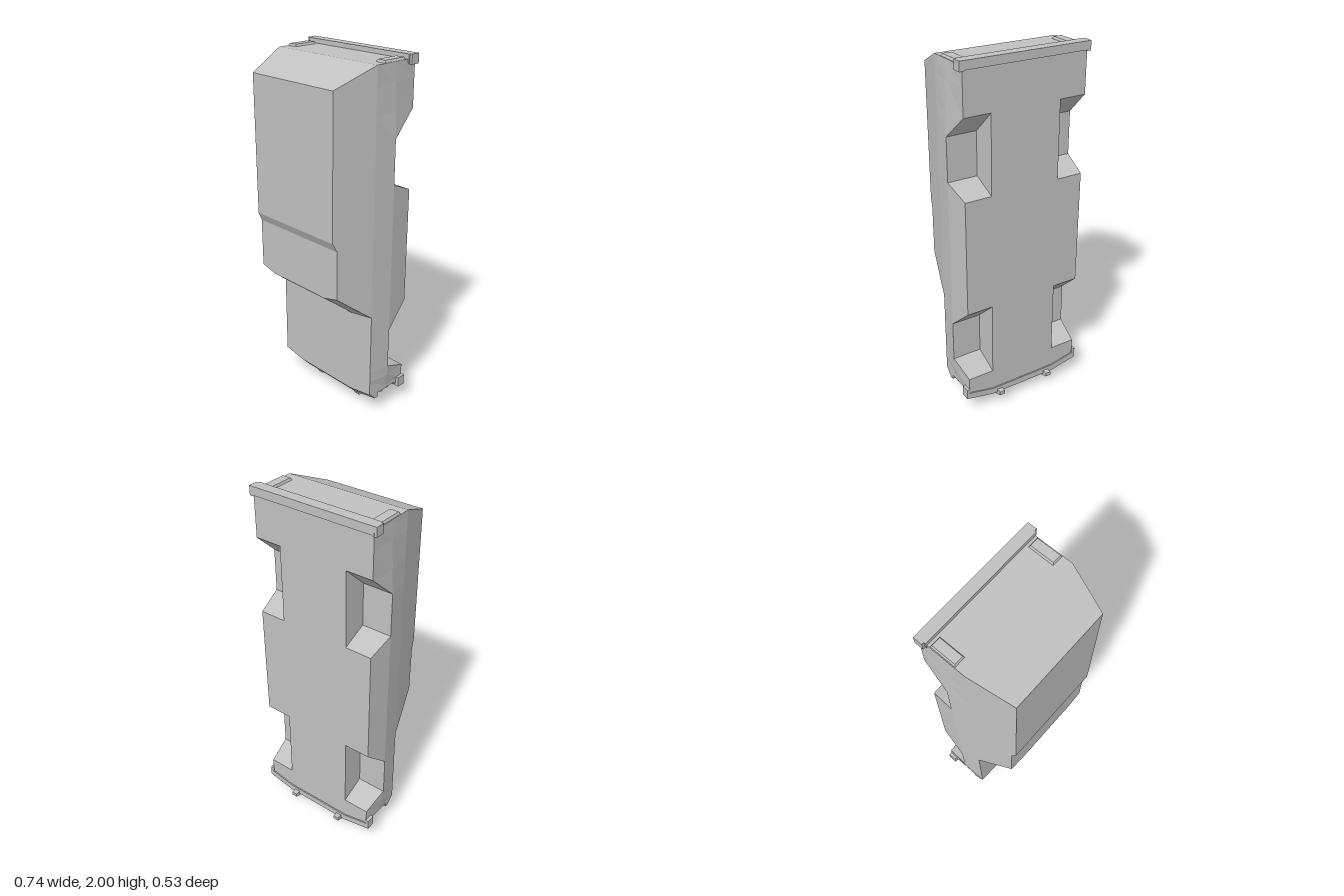
import * as THREE from 'three';

const BOTTOM = -0.23, BELT = -0.09, SHOULDER = 0.035, SILL = 0.35, INNER = 0.2;

export function createModel() {
  const root = new THREE.Group();
  root.name = 'carBody';
  const grey = new THREE.MeshStandardMaterial({ color: 0xc0c0c0 });
  grey.name = 'plain grey';

  const add = (name, geometry, x = 0, y = 0, z = 0) => {
    const mesh = new THREE.Mesh(geometry, grey);
    mesh.name = name;
    mesh.position.set(x, y, z);
    root.add(mesh);
    return mesh;
  };
  const box = (name, w, h, d, x, y, z) => add(name, new THREE.BoxGeometry(w, h, d), x, y, z);

  // Bar across the car: a [z, y] profile whose outer ends sweep back by `sweep`
  const sweptBar = (name, profile, halfWidth, sweep) => {
    const shape = new THREE.Shape(profile.map(([z, y]) => new THREE.Vector2(z, y)));
    const g = new THREE.ExtrudeGeometry(shape, { depth: 3, steps: 3, bevelEnabled: false });
    const columns = [halfWidth, INNER, -INNER, -halfWidth];
    const p = g.attributes.position;
    for (let i = 0; i < p.count; i++) {
      const k = Math.round(p.getZ(i));
      const back = k === 0 || k === 3 ? sweep : 0;
      p.setXYZ(i, columns[k], p.getY(i) + back, p.getX(i));
    }
    g.computeVertexNormals();
    return add(name, g);
  };

  add('shell', shellGeometry());

  // Nose with a recessed grille
  sweptBar('nose', [
    [0.035, 0.115], [-0.01, 0.067], [-0.03, 0.067], [-0.035, 0.095],
    [-0.17, 0.1], [-0.175, 0.085], [-0.23, 0.1], [-0.23, 0.115],
  ], SILL, 0.03);
  for (const [z, y] of [[-0.075, 0.078], [-0.125, 0.083]]) {
    sweptBar('grilleBar', [[z + 0.008, y], [z + 0.008, y + 0.025], [z - 0.008, y + 0.025], [z - 0.008, y]], 0.34, 0.03);
  }

  // Bumpers
  sweptBar('frontBumper', [[-0.19, 0.068], [-0.19, 0.105], [-0.237, 0.105], [-0.237, 0.068]], 0.355, 0.032);
  box('rearBumper', 0.71, 0.045, 0.06, 0, 1.9775, -0.208);

  // Guard in front of the nose
  for (const z of [-0.095, -0.2]) {
    box('guardCrossbar', 0.3, 0.025, 0.02, 0, 0.04 - (z + 0.095) * 0.3, z);
  }
  const upright = new THREE.Shape([
    [-0.057, 0.05], [-0.057, 0.015], [-0.07, 0], [-0.265, 0.063], [-0.265, 0.085], [-0.17, 0.092],
  ].map(([z, y]) => new THREE.Vector2(-z, y)));

  for (const side of [-1, 1]) {
    const bar = add('guardUpright',
      new THREE.ExtrudeGeometry(upright, { depth: 0.032, bevelEnabled: false }), side * 0.158 - 0.016);
    bar.rotation.y = Math.PI / 2;
    box('frontBumperEnd', 0.022, 0.06, 0.05, side * 0.357, 0.13, -0.21);
    box('rearBumperEnd', 0.025, 0.05, 0.05, side * 0.3555, 1.975, -0.212);

    // Tail light with bevelled rim
    const light = new THREE.BoxGeometry(0.064, 0.016, 0.146).toNonIndexed();
    const p = light.attributes.position;
    for (let i = 0; i < p.count; i++) {
      if (p.getY(i) > 0) {
        p.setX(i, p.getX(i) - Math.sign(p.getX(i)) * 0.008);
        p.setZ(i, p.getZ(i) - Math.sign(p.getZ(i)) * 0.008);
      }
    }
    light.computeVertexNormals();
    add('tailLight', light, side * 0.316, 1.979, -0.093);
  }
  return root;
}

// Body shell lofted from nose to tail, wheel arches included
function shellGeometry() {
  // y, arch ceiling z, belt half-width, roof half-width, roof z, upper sweep, lower sweep
  const stations = [
    [0.115, BOTTOM, 0.352, 0.35, 0.035, 0.025, 0.03],
    [0.225, BOTTOM, 0.364, 0.35, 0.035, 0, 0],
    [0.285, BELT, 0.368, 0.35, 0.035, 0, 0],
    [0.52, BELT, 0.368, 0.35, 0.035, 0, 0],
    [0.61, -0.187, 0.368, 0.35, 0.035, 0.025, 0],
    [0.65, BOTTOM, 0.368, 0.338, 0.085, 0.025, 0],
    [0.775, BOTTOM, 0.368, 0.297, 0.24, 0.025, 0],
    [1.07, BOTTOM, 0.368, 0.297, 0.24, 0, 0],
    [1.12, BOTTOM, 0.368, 0.29, 0.265, 0, 0],
    [1.3, BOTTOM, 0.368, 0.29, 0.265, 0, 0],
    [1.36, BELT, 0.368, 0.29, 0.265, 0, 0],
    [1.6, BELT, 0.368, 0.29, 0.265, 0, 0],
    [1.73, BOTTOM, 0.362, 0.29, 0.265, 0, 0],
    [1.88, BOTTOM, 0.355, 0.29, 0.265, 0, 0],
    [1.975, BOTTOM, 0.35, 0.35, 0.035, 0, 0],
  ];
  const rings = stations.map(([y, arch, belt, roofX, roofZ, up, low]) => {
    const sillX = SILL + (belt - SILL) * (arch - BOTTOM) / (BELT - BOTTOM);
    const half = [
      [INNER, y, BOTTOM], [INNER, y, arch], [sillX, y + low, arch], [belt, y + low, BELT],
      [SILL, y + up, SHOULDER], [roofX, y + up, roofZ], [INNER, y, roofZ],
    ];
    return [...half, ...half.map(([x, py, z]) => [-x, py, z]).reverse()];
  });

  const out = [];
  const tri = (a, b, c) => out.push(...a, ...b, ...c);
  const n = rings[0].length;
  for (let i = 0; i < rings.length - 1; i++) {
    for (let j = 0; j < n; j++) {
      const k = (j + 1) % n;
      tri(rings[i][j], rings[i + 1][j], rings[i + 1][k]);
      tri(rings[i][j], rings[i + 1][k], rings[i][k]);
    }
  }
  // End caps
  const first = rings[0], last = rings[rings.length - 1];
  for (let j = 1; j < n - 1; j++) {
    tri(first[0], first[j], first[j + 1]);
    tri(last[0], last[j + 1], last[j]);
  }
  const g = new THREE.BufferGeometry();
  g.setAttribute('position', new THREE.Float32BufferAttribute(out, 3));
  g.computeVertexNormals();
  return g;
}
